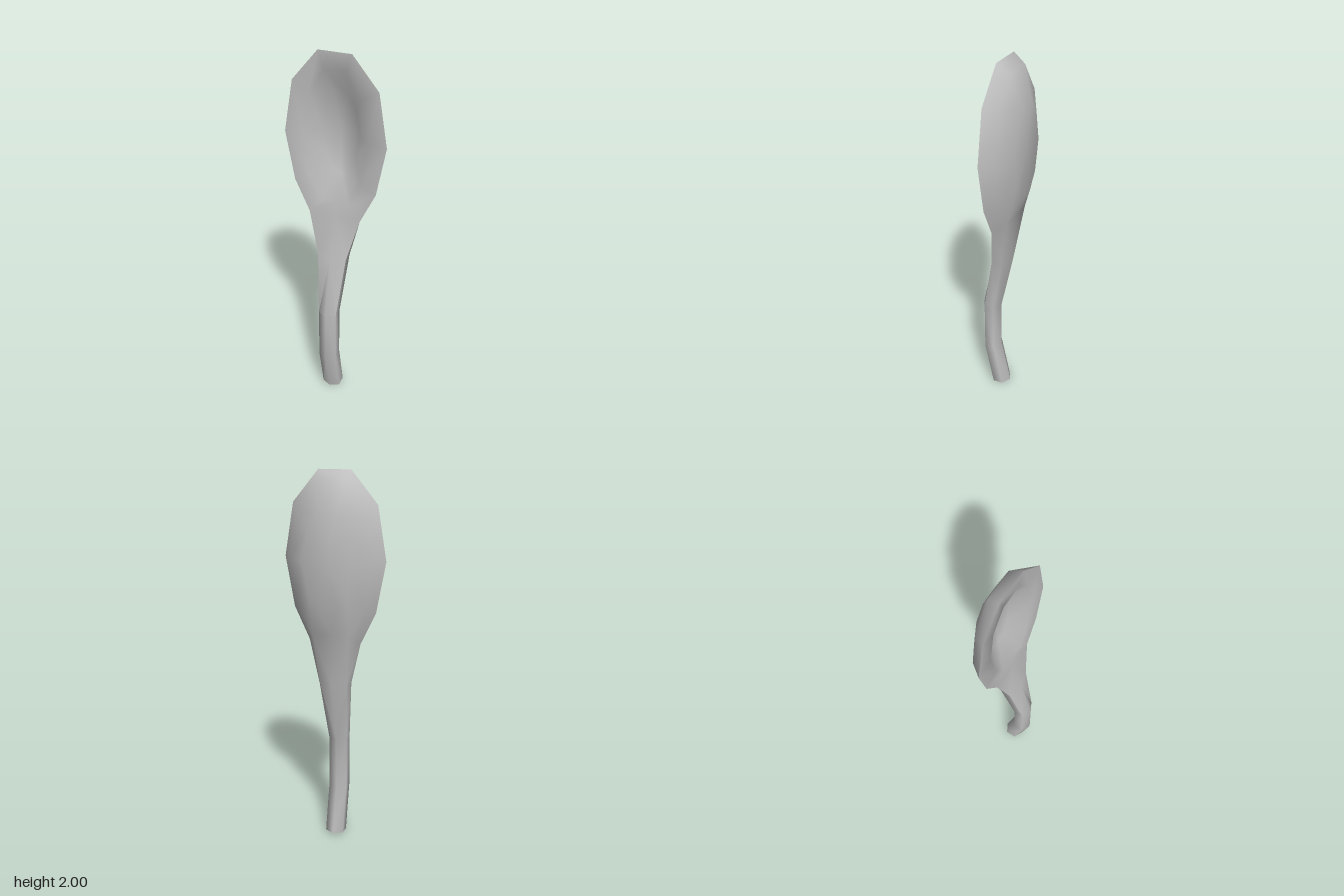
import * as THREE from 'three';
import { toCreasedNormals } from 'three/addons/utils/BufferGeometryUtils.js';

// Six-sided handle ring: front ridge, front sides, back sides, back ridge
function handleRing([y, front, xFront, zFront, xBack, zBack, back, yBack = y]) {
  return [
    [0, y, front], [xFront, y, zFront], [xBack, yBack, zBack],
    [0, yBack, back], [-xBack, yBack, zBack], [-xFront, y, zFront],
  ];
}

// Mirrored bowl loop, counter-clockwise from the bottom centre
function bowlLoop(z, half) {
  const right = half.map(([x, y]) => [x, y, z]);
  const left = right.map(([x, y]) => [-x, y, z]).reverse();
  return [[0, half[0][1], z], ...right, ...left];
}

export function createModel() {
  const positions = [];
  const tri = (a, b, c) => positions.push(...a, ...b, ...c);
  // Join two loops, with the diagonals mirrored left to right
  const bridge = (a, b, skip = () => false) => {
    for (let i = 0; i < a.length; i++) {
      if (skip(i)) continue;
      const j = (i + 1) % a.length;
      if (i < a.length / 2) { tri(a[i], a[j], b[i]); tri(a[j], b[j], b[i]); }
      else { tri(a[i], a[j], b[j]); tri(a[i], b[j], b[i]); }
    }
  };
  const cap = (ring, centre, flip = false) => ring.forEach((p, i) => {
    const q = ring[(i + 1) % ring.length];
    if (flip) tri(centre, q, p); else tri(centre, p, q);
  });

  // Handle, bending forward and then widening into the neck
  const rings = [
    [0.012, 0.068, 0.05, 0.042, 0.05, -0.014, -0.042, 0.017],
    [0.27, 0.122, 0.05, 0.095, 0.05, 0.042, 0.015, 0.28],
    [0.57, 0.122, 0.05, 0.095, 0.05, 0.042, 0.015],
    [0.91, 0.055, 0.08, 0.03, 0.078, -0.027, -0.055],
    [1.14, -0.005, 0.14, -0.005, 0.1, -0.07, -0.07, 1.19],
  ].map(handleRing);
  cap(rings[0], [0, 0, 0.013], true);
  for (let i = 0; i < rings.length - 1; i++) bridge(rings[i], rings[i + 1]);

  // Bowl: outer shell, flat lip and the hollow inside it
  const rim = bowlLoop(-0.007, [[0.14, 1.14], [0.22, 1.31], [0.267, 1.57], [0.22, 1.84], [0.085, 2]]);
  rim[0][2] = rim[1][2] = rim[10][2] = -0.005;
  const outerMid = bowlLoop(-0.07, [[0.1, 1.19], [0.18, 1.33], [0.22, 1.57], [0.18, 1.8], [0.075, 1.955]]);
  const outerBase = bowlLoop(-0.122, [[0.05, 1.33], [0.1, 1.41], [0.13, 1.57], [0.1, 1.72], [0.045, 1.8]]);
  const lip = bowlLoop(-0.01, [[0.075, 1.22], [0.135, 1.355], [0.167, 1.57], [0.135, 1.79], [0.055, 1.91]]);
  const hollow = bowlLoop(-0.085, [[0.04, 1.36], [0.08, 1.44], [0.1, 1.57], [0.08, 1.7], [0.035, 1.77]]);
  bridge(outerMid, rim, (i) => i === 0 || i === 10); // open where the neck joins
  bridge(outerBase, outerMid);
  cap(outerBase, [0, 1.57, -0.123], true);
  bridge(rim, lip);
  bridge(lip, hollow);
  cap(hollow, [0, 1.57, -0.095]);

  const geometry = new THREE.BufferGeometry();
  geometry.setAttribute('position', new THREE.Float32BufferAttribute(positions, 3));
  const metal = new THREE.MeshStandardMaterial({ color: 0xbebebe });
  metal.name = 'metal grey';
  const spoon = new THREE.Mesh(toCreasedNormals(geometry, THREE.MathUtils.degToRad(63)), metal);
  spoon.name = 'spoonBowlAndHandle';

  const group = new THREE.Group();
  group.name = 'spoon';
  group.add(spoon);
  return group;
}
